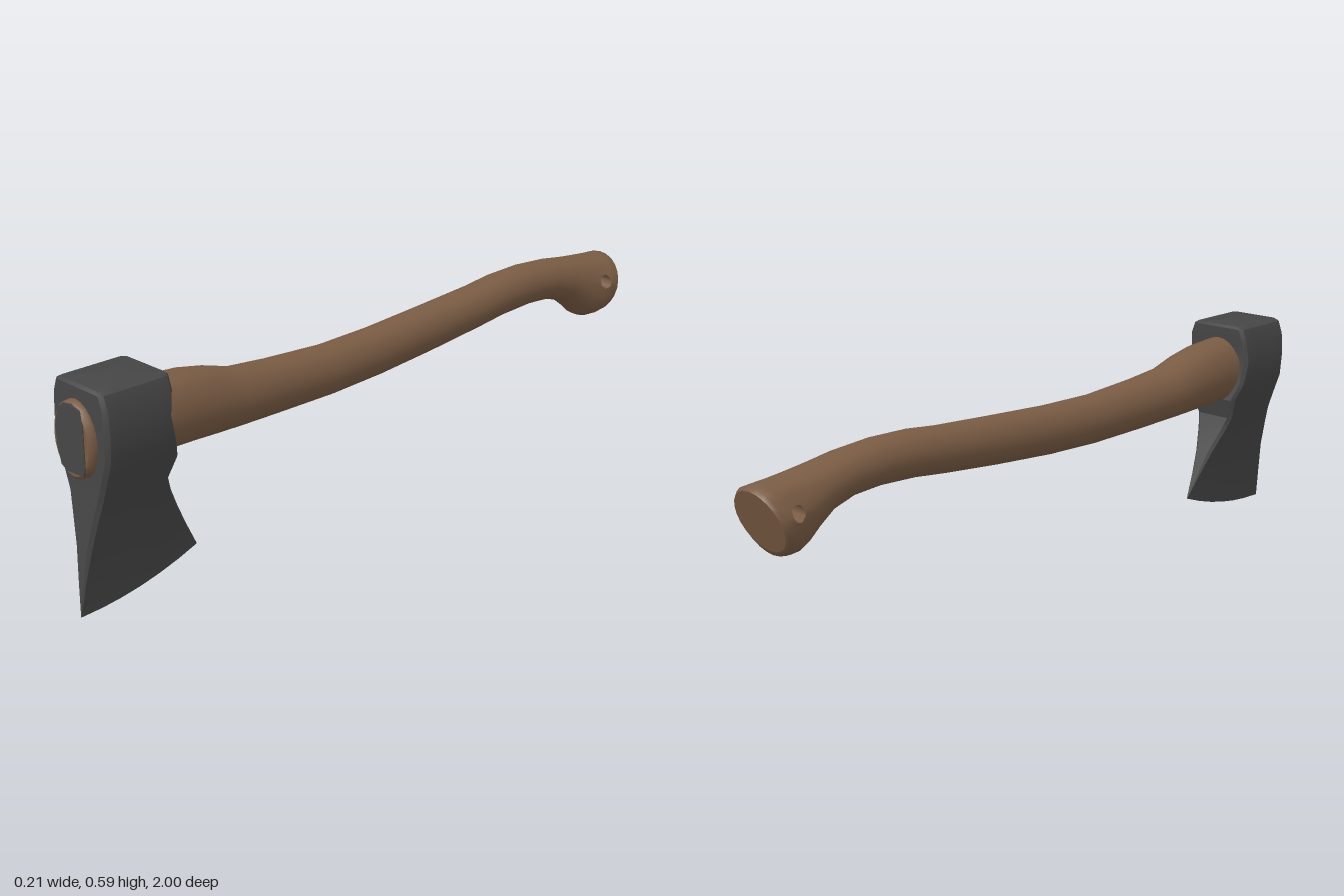
import * as THREE from 'three';
import { toCreasedNormals } from 'three/addons/utils/BufferGeometryUtils.js';

const SEG = 24;

// Skins a list of closed rings; "skip" lists quads left open. Caps get their own vertices.
function loft(rings, skip = () => false) {
  const n = rings[0].length, pos = [], idx = [];
  rings.forEach(r => r.forEach(p => pos.push(p.x, p.y, p.z)));
  for (let i = 0; i < rings.length - 1; i++) {
    for (let j = 0; j < n; j++) {
      if (skip(i, j)) continue;
      const k = (j + 1) % n;
      const a = i * n + j, b = i * n + k, c = a + n, d = b + n;
      idx.push(a, c, b, b, c, d);
    }
  }
  [rings[0], rings[rings.length - 1]].forEach((ring, end) => {
    const base = pos.length / 3;
    const mid = new THREE.Vector3();
    ring.forEach(p => { mid.addScaledVector(p, 1 / n); pos.push(p.x, p.y, p.z); });
    pos.push(mid.x, mid.y, mid.z);
    for (let j = 0; j < n; j++) {
      const a = base + j, b = base + (j + 1) % n;
      if (end) idx.push(base + n, b, a); else idx.push(base + n, a, b);
    }
  });
  return finish(pos, idx);
}

function finish(pos, idx) {
  const g = new THREE.BufferGeometry();
  g.setAttribute('position', new THREE.Float32BufferAttribute(pos, 3));
  g.setIndex(idx);
  g.computeVertexNormals();
  return g;
}

// Handle sections, head to knob: top z, top y, bottom z, bottom y, half width
const HANDLE = [
  [0.987, 0.547, 0.987, 0.366, 0.066],
  [0.982, 0.553, 0.982, 0.359, 0.073],
  [0.968, 0.555, 0.968, 0.357, 0.076],
  [0.75, 0.553, 0.75, 0.357, 0.078],
  [0.66, 0.547, 0.66, 0.355, 0.077],
  [0.58, 0.531, 0.58, 0.352, 0.075],
  [0.5, 0.507, 0.5, 0.35, 0.071],
  [0.38, 0.496, 0.38, 0.347, 0.065],
  [0.18, 0.484, 0.18, 0.345, 0.061],
  [0, 0.488, 0, 0.352, 0.06],
  [-0.2, 0.5, -0.2, 0.368, 0.06],
  [-0.4, 0.513, -0.4, 0.388, 0.06],
  [-0.5, 0.524, -0.5, 0.4, 0.06],
  [-0.62, 0.527, -0.62, 0.406, 0.06],
  [-0.73, 0.519, -0.71, 0.401, 0.062],
  [-0.81, 0.507, -0.78, 0.381, 0.067],
  [-0.87, 0.5, -0.83, 0.346, 0.075],
  [-0.91, 0.496, -0.863, 0.318, 0.081],
  [-0.938, 0.493, -0.891, 0.305, 0.086],
  [-0.965, 0.491, -0.918, 0.304, 0.09],
  [-0.991, 0.488, -0.937, 0.308, 0.093],
  [-0.999, 0.478, -0.945, 0.32, 0.086],
];

function handleParts() {
  const rings = HANDLE.map(([tz, ty, bz, by, hw]) => Array.from({ length: SEG }, (_, j) => {
    const a = j / SEG * Math.PI * 2, s = Math.sin(a);
    return new THREE.Vector3(-0.007 + hw * Math.cos(a),
      (ty + by) / 2 + s * (ty - by) / 2, (tz + bz) / 2 + s * (tz - bz) / 2);
  }));
  // Pull the eight points around the lanyard hole onto a circle, on both sides
  const hi = 18, hj = 1, r = 0.021;
  const around = [[-1, -1], [-1, 0], [-1, 1], [0, 1], [1, 1], [1, 0], [1, -1], [0, -1]];
  const c = rings[hi][hj].clone();
  const rims = [j => (j + SEG) % SEG, j => (SEG / 2 - j + SEG) % SEG].map(map =>
    around.map(([di, dj]) => {
      const p = rings[hi + di][map(hj + dj)];
      const a = Math.atan2(p.y - c.y, p.z - c.z);
      p.y = c.y + r * Math.sin(a);
      p.z = c.z + r * Math.cos(a);
      return p;
    }));
  const open = [hj - 1, hj, SEG / 2 - hj - 1, SEG / 2 - hj];
  const body = loft(rings, (i, j) => (i === hi - 1 || i === hi) && open.includes(j));
  // Bore joining the two rims
  const pos = [], idx = [];
  rims.flat().forEach(p => pos.push(p.x, p.y, p.z));
  for (let j = 0; j < 8; j++) {
    const k = (j + 1) % 8;
    idx.push(j, k, j + 8, k, k + 8, j + 8);
  }
  return { body, bore: finish(pos, idx) };
}

// Head sections, poll to edge: y, half width, front z, back z, lift of the back end
const HEAD = [
  [0.592, 0.078, 0.96, 0.772, 0],
  [0.585, 0.09, 0.967, 0.765, 0],
  [0.55, 0.103, 0.967, 0.766, 0],
  [0.485, 0.107, 0.967, 0.775, 0],
  [0.42, 0.102, 0.967, 0.76, 0],
  [0.37, 0.084, 0.967, 0.744, 0],
  [0.31, 0.063, 0.968, 0.76, 0],
  [0.26, 0.049, 0.975, 0.743, 0.008],
  [0.18, 0.029, 0.984, 0.71, 0.025],
  [0.09, 0.014, 0.993, 0.677, 0.05],
  [0, 0.001, 1, 0.64, 0.07],
];

function headGeometry() {
  const rings = HEAD.map(([y, hw, zf, zb, lift]) => {
    const c = Math.min(0.01, hw * 0.3);
    const side = [[hw - c, zf]];
    for (let k = 0; k <= 6; k++) side.push([hw, THREE.MathUtils.lerp(zf - c, zb + c, k / 6)]);
    side.push([hw - c, zb]);
    const outline = side.concat(side.map(([x, z]) => [-x, z]).reverse());
    return outline.map(([x, z]) =>
      new THREE.Vector3(x, y + lift * ((zf - z) / (zf - zb)) ** 2, z));
  });
  return toCreasedNormals(loft(rings), 0.55);
}

// Flat wedge face set into the front end of the handle
function wedgeGeometry() {
  const pts = [[-0.05, 0.385], [-0.03, 0.374], [0.035, 0.378], [0.044, 0.4], [0.045, 0.51],
    [0.03, 0.54], [0, 0.55], [-0.03, 0.545], [-0.052, 0.525], [-0.065, 0.48], [-0.062, 0.43]];
  const shape = new THREE.Shape(pts.map(p => new THREE.Vector2(...p)));
  return new THREE.ExtrudeGeometry(shape, { depth: 0.006, bevelEnabled: false }).translate(0, 0, 0.983);
}

export function createModel() {
  const wood = new THREE.MeshStandardMaterial({ color: 0x7a5c44 });
  wood.name = 'wood';
  const steel = new THREE.MeshStandardMaterial({ color: 0x464646 });
  steel.name = 'darkSteel';
  wood.side = THREE.DoubleSide;

  const group = new THREE.Group();
  group.name = 'axe';
  const add = (name, geometry, material) => {
    const m = new THREE.Mesh(geometry, material);
    m.name = name;
    group.add(m);
  };
  const { body, bore } = handleParts();
  add('handle', body, wood);
  add('lanyardHole', bore, wood);
  add('axeHead', headGeometry(), steel);
  add('wedge', wedgeGeometry(), steel);
  return group;
}
